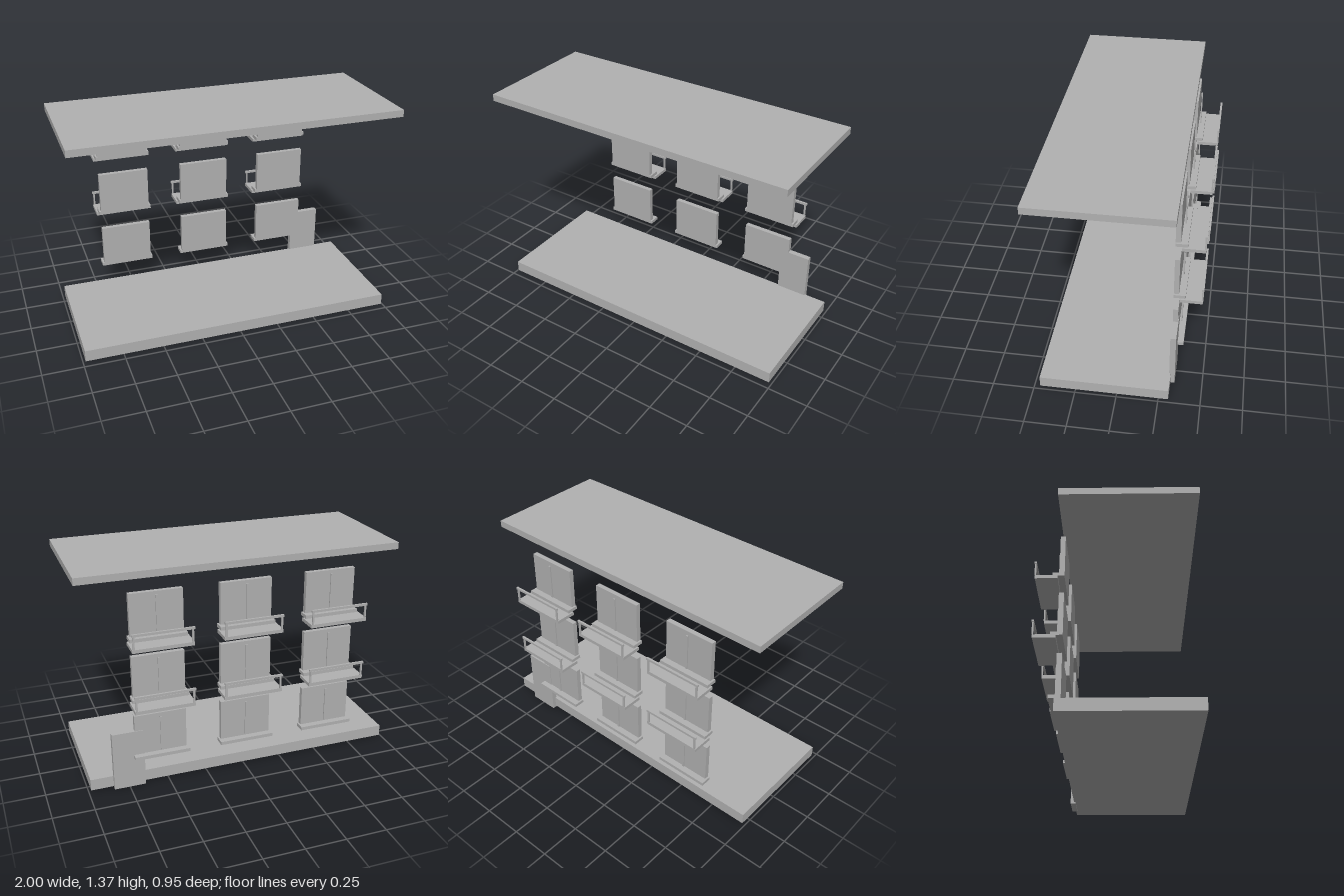
import * as THREE from 'three';

const grey = new THREE.MeshStandardMaterial({ color: 0xb1b1b1 });
grey.name = 'plain grey';

// Box given by its min and max on each axis
function slab(parent, name, [x0, x1], [y0, y1], [z0, z1]) {
  const mesh = new THREE.Mesh(new THREE.BoxGeometry(x1 - x0, y1 - y0, z1 - z0), grey);
  mesh.position.set((x0 + x1) / 2, (y0 + y1) / 2, (z0 + z1) / 2);
  mesh.name = name;
  parent.add(mesh);
}

// Window with its sill; y = 0 is the underside of the sill
function makeWindow() {
  const g = new THREE.Group();
  g.name = 'window';
  slab(g, 'windowPanel', [-0.16, 0.16], [0.021, 0.278], [-0.33, -0.3]);
  slab(g, 'windowMullion', [-0.006, 0.006], [0.035, 0.26], [-0.348, -0.34]);
  slab(g, 'windowSill', [-0.172, 0.172], [0, 0.021], [-0.37, -0.3]);
  return g;
}

// Balcony floor, two posts and a rail, hung just below the sill
function makeBalcony() {
  const g = new THREE.Group();
  g.name = 'balcony';
  slab(g, 'balconyFloor', [-0.182, 0.182], [-0.022, -0.001], [-0.47, -0.338]);
  for (const s of [-1, 1]) {
    slab(g, 'balconyPost', [s * 0.172 - 0.005, s * 0.172 + 0.005], [-0.001, 0.08], [-0.473, -0.463]);
  }
  slab(g, 'balconyRail', [-0.183, 0.183], [0.078, 0.092], [-0.475, -0.462]);
  return g;
}

export function createModel() {
  const model = new THREE.Group();
  model.name = 'building';

  slab(model, 'baseSlab', [-0.985, 0.985], [0.01, 0.082], [-0.31, 0.463]);
  slab(model, 'roofSlab', [-1, 1], [1.323, 1.366], [-0.325, 0.475]);
  slab(model, 'door', [0.65, 0.845], [0, 0.375], [-0.334, -0.3]);

  // Three storeys of three windows, balconies on the upper two
  for (let row = 0; row < 3; row++) {
    for (let col = -1; col <= 1; col++) {
      const bay = new THREE.Group();
      bay.name = 'windowBay';
      bay.position.set(col * 0.544, 0.195 + row * 0.384, 0);
      bay.add(makeWindow());
      if (row > 0) bay.add(makeBalcony());
      model.add(bay);
    }
  }
  return model;
}
